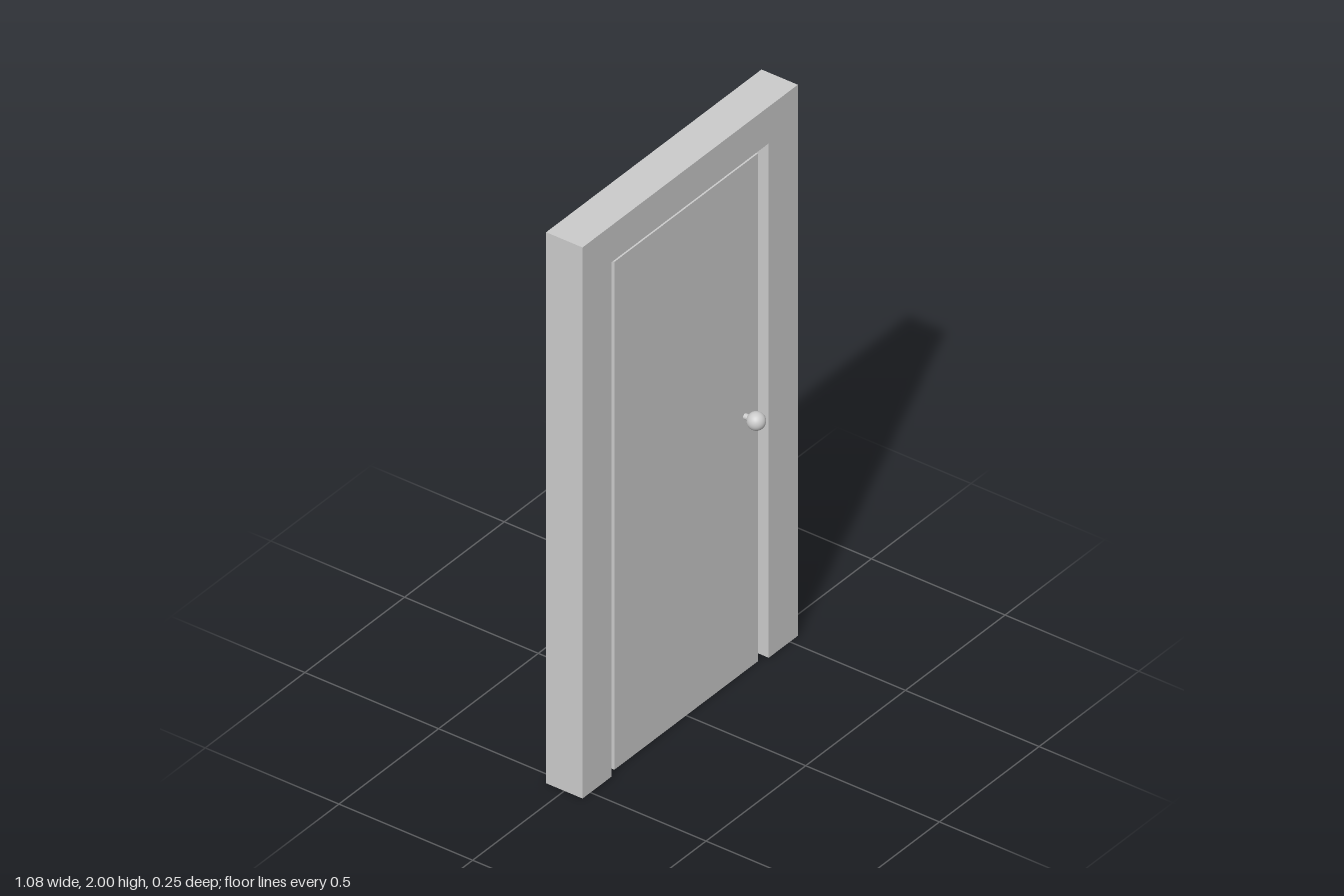
import * as THREE from 'three';

const material = new THREE.MeshStandardMaterial({ color: 0xcccccc });

function addMesh(parent, name, geometry, x = 0, y = 0, z = 0) {
  const mesh = new THREE.Mesh(geometry, material);
  mesh.name = name;
  mesh.position.set(x, y, z);
  parent.add(mesh);
  return mesh;
}

export function createModel() {
  const model = new THREE.Group();
  model.name = 'door';

  // Frame: two posts and a lintel in one outline, open at the bottom
  const depth = 0.136, outer = 0.54, inner = 0.394, openingTop = 1.867;
  const outline = new THREE.Shape([
    [-outer, 0], [-inner, 0], [-inner, openingTop], [inner, openingTop],
    [inner, 0], [outer, 0], [outer, 2], [-outer, 2],
  ].map(([x, y]) => new THREE.Vector2(x, y)));
  const frame = new THREE.ExtrudeGeometry(outline, { depth, bevelEnabled: false });
  addMesh(model, 'doorFrame', frame, 0, 0, -depth / 2);

  // Door panel, slightly recessed on both sides
  const thickness = 0.106, height = 1.843;
  addMesh(model, 'doorPanel', new THREE.BoxGeometry(0.72, height, thickness), 0, height / 2, 0);

  // A round knob on a short stem, on each side
  const knobZ = 0.095;
  for (const [side, s] of [['front', 1], ['back', -1]]) {
    const handle = new THREE.Group();
    handle.name = side + 'Handle';
    handle.position.set(0.295, 0.925, 0);
    model.add(handle);
    addMesh(handle, side + 'Knob', new THREE.SphereGeometry(0.03, 32, 20), 0, 0, s * knobZ);
    const stem = new THREE.CylinderGeometry(0.01, 0.01, knobZ - thickness / 2, 16, 1, true);
    stem.rotateX(Math.PI / 2);
    addMesh(handle, side + 'Stem', stem, 0, 0, s * (knobZ + thickness / 2) / 2);
  }

  return model;
}
